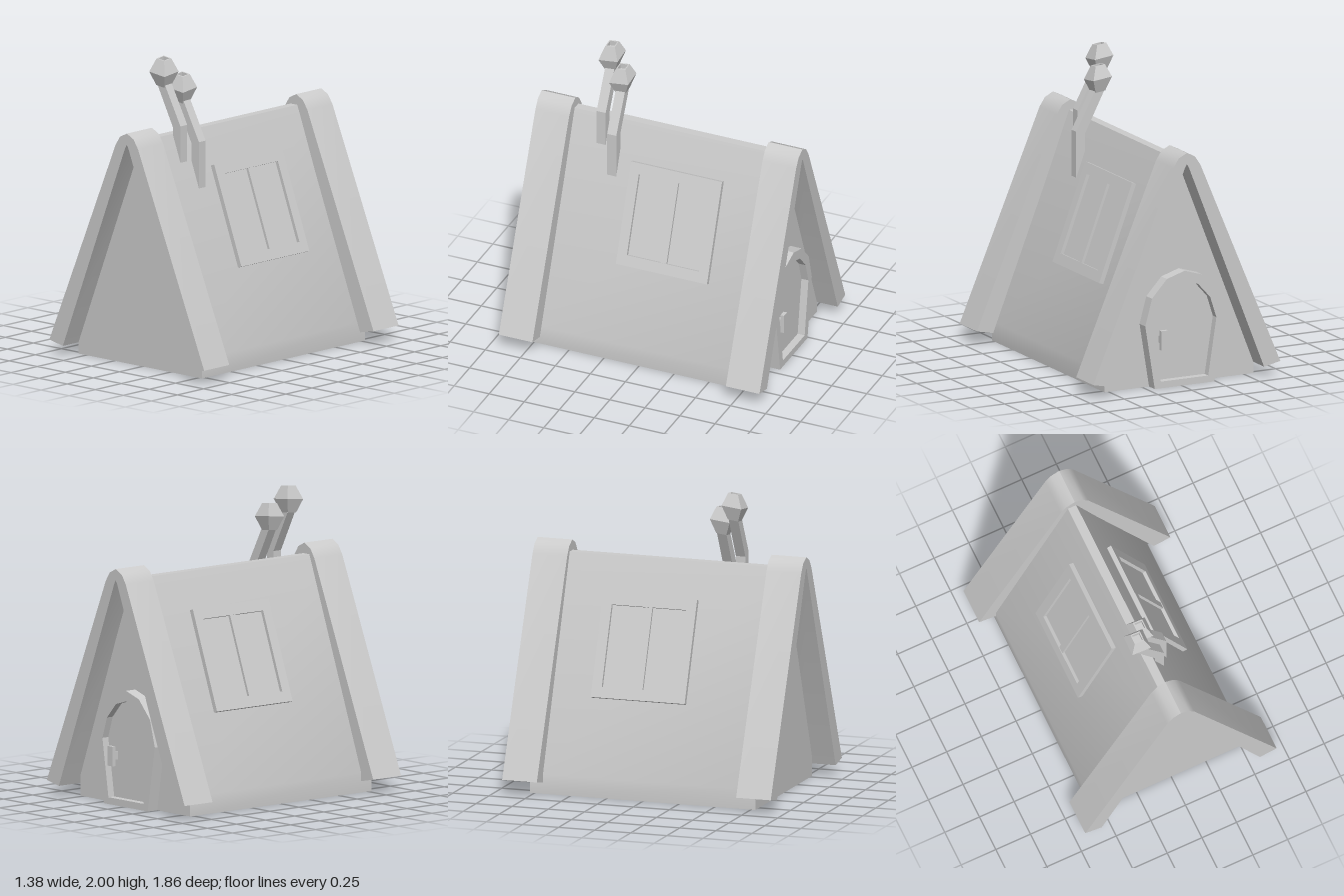
import * as THREE from 'three';
import { toCreasedNormals } from 'three/addons/utils/BufferGeometryUtils.js';

const MID = -0.02; // x of the house centre line
const mat = new THREE.MeshStandardMaterial({ color: 0xcccccc, side: THREE.DoubleSide });

function add(parent, name, geometry, x = 0, y = 0, z = 0) {
  const mesh = new THREE.Mesh(geometry, mat);
  mesh.name = name;
  mesh.position.set(x, y, z);
  parent.add(mesh);
  return mesh;
}

const toPoints = (list) => list.map(([x, y]) => new THREE.Vector2(x, y));

// Right half of an outline, listed from the bottom up, mirrored to the left
function mirrored(half) {
  const left = half.filter(([x]) => x > 0).map(([x, y]) => [-x, y]).reverse();
  return [...half, ...left];
}

function extrude(outline, depth, hole) {
  const shape = new THREE.Shape(toPoints(outline));
  if (hole) shape.holes.push(new THREE.Path(toPoints(hole)));
  return new THREE.ExtrudeGeometry(shape, { depth, bevelEnabled: false });
}

const rect = (w, h) => [[-w / 2, -h / 2], [w / 2, -h / 2], [w / 2, h / 2], [-w / 2, h / 2]];

// Framed two-pane window lying on one roof slope (s = 1 right, -1 left)
function makeWindow(s) {
  const group = new THREE.Group();
  group.name = s > 0 ? 'rightWindow' : 'leftWindow';
  add(group, 'windowFrame', extrude(rect(0.65, 0.69), 0.055, rect(0.515, 0.545)), 0, 0, -0.02);
  add(group, 'windowPane', new THREE.BoxGeometry(0.53, 0.56, 0.03), 0, 0, -0.003);
  add(group, 'windowBar', new THREE.BoxGeometry(0.046, 0.55, 0.045), 0, 0, 0.008);
  const slope = new THREE.Vector2(1.33, 0.5).normalize();
  const basis = new THREE.Matrix4().makeBasis(
    new THREE.Vector3(0, 0, -s),
    new THREE.Vector3(-s * slope.y, slope.x, 0),
    new THREE.Vector3(s * slope.x, slope.y, 0));
  group.quaternion.setFromRotationMatrix(basis);
  group.position.set(MID + s * 0.24, 0.945, -0.09);
  return group;
}

// Crooked square chimney pipe with a hollow faceted cap
function makeChimney(dx, dy, z, bottom) {
  const group = new THREE.Group();
  group.name = 'chimney';
  const pipe = [[0.015, bottom], [0.08, bottom], [0.08, 1.57], [-0.06, 1.83], [-0.125, 1.82], [0.015, 1.55]];
  add(group, 'chimneyPipe', extrude(pipe, 0.065), 0, 0, -0.0325);
  const profile = [[0, -0.085], [0.035, -0.085], [0.068, 0.005], [0.034, 0.093], [0.026, 0.093], [0.026, 0.06], [0, 0.06]];
  const cap = new THREE.LatheGeometry(toPoints(profile.map(([r, y]) => [r * Math.SQRT2, y])), 4, Math.PI / 4).toNonIndexed();
  // Lean the cap a little
  const p = cap.attributes.position;
  for (let i = 0; i < p.count; i++) p.setY(i, p.getY(i) - 0.12 * (p.getX(i) + p.getZ(i)));
  cap.computeVertexNormals();
  add(group, 'chimneyCap', cap, -0.0975, 1.9, 0);
  group.position.set(dx, dy, z);
  return group;
}

// Arched back door that widens toward the shoulders
function makeDoor() {
  const group = new THREE.Group();
  group.name = 'door';
  const outer = mirrored([[0.22, 0], [0.29, 0.43], [0.24, 0.61], [0.13, 0.73], [0, 0.77]]);
  const inner = mirrored([[0.175, 0.045], [0.235, 0.43], [0.19, 0.57], [0.1, 0.67], [0, 0.7]]);
  add(group, 'doorFrame', extrude(outer, 0.12, inner), 0, 0, -0.86);
  add(group, 'doorPanel', extrude(inner, 0.06), 0, 0, -0.81);
  add(group, 'handleStem', new THREE.BoxGeometry(0.03, 0.05, 0.05), 0.15, 0.32, -0.825);
  add(group, 'handleGrip', new THREE.BoxGeometry(0.05, 0.13, 0.025), 0.15, 0.32, -0.855);
  group.position.x = MID;
  return group;
}

export function createModel() {
  const model = new THREE.Group();
  model.name = 'cottage';

  // Steep-sided body with low side walls and a narrow ridge
  const body = mirrored([[0.55, 0], [0.55, 0.13], [0.05, 1.46], [0.03, 1.51]]);
  add(model, 'houseBody', toCreasedNormals(extrude(body, 1.56), 0.4), MID, 0, -0.78);

  // Rounded gable trims at the front and back
  const outerArch = mirrored([[0.57, 0.075], [0.69, 0.1], [0.1, 1.49], [0.06, 1.55], [0, 1.58]]);
  const innerArch = [[-0.015, 1.48], [0, 1.505], [0.015, 1.48]];
  for (const [name, z] of [['frontGableTrim', 0.69], ['backGableTrim', -0.93]]) {
    add(model, name, toCreasedNormals(extrude([...outerArch, ...innerArch], 0.24), 0.7), 0, 0, z);
  }

  for (const s of [1, -1]) model.add(makeWindow(s));
  model.add(makeChimney(0, 0, 0.47, 1.29));
  model.add(makeChimney(0.067, -0.112, 0.365, 1.235));
  model.add(makeDoor());
  return model;
}
